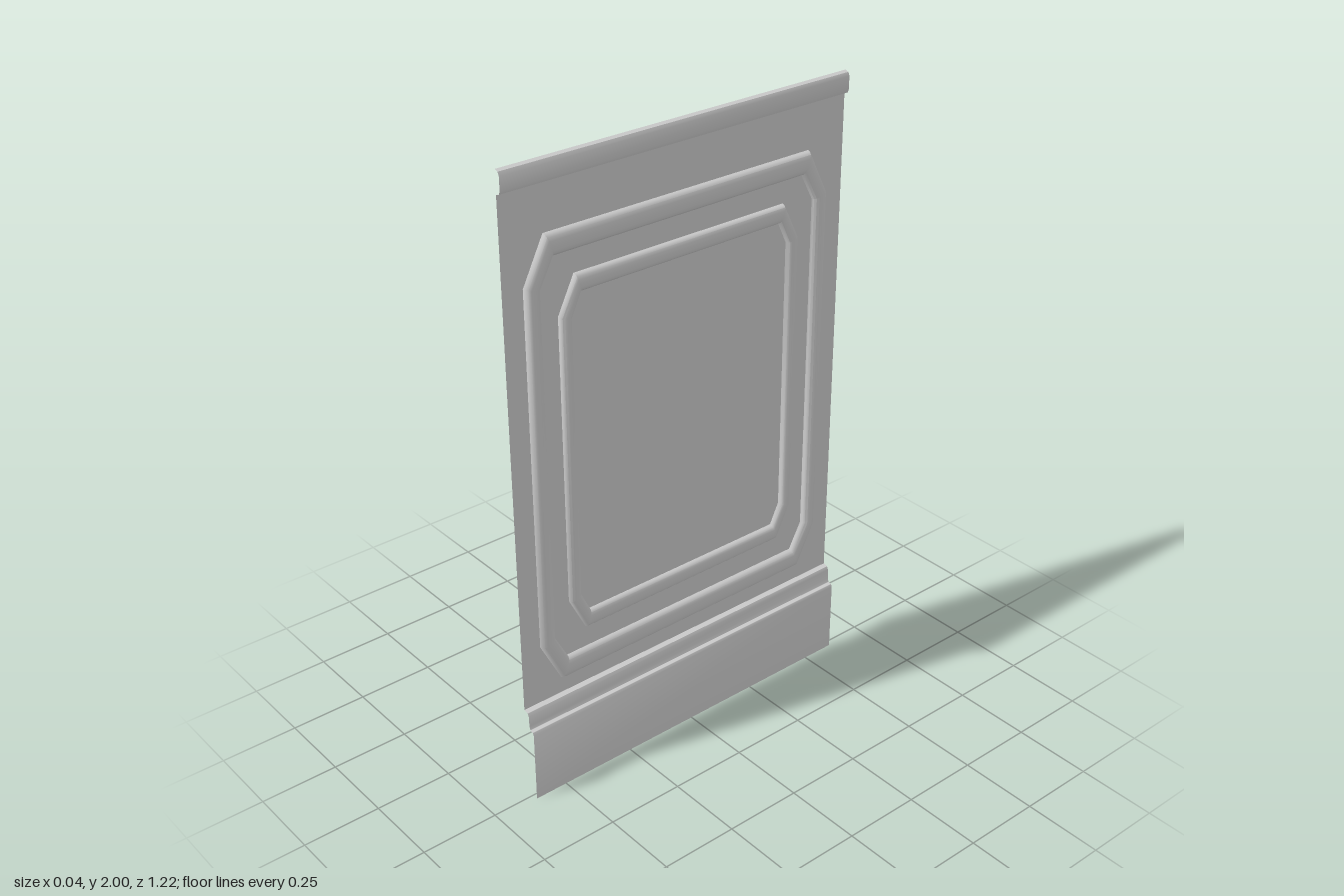
import * as THREE from 'three';
import { toCreasedNormals } from 'three/addons/utils/BufferGeometryUtils.js';

const HALF_WIDTH = 0.61;
const SHEET_X = -0.022;
const material = new THREE.MeshStandardMaterial({ color: 0xcccccc, side: THREE.DoubleSide });

// Skin between successive rows of points; closed joins each row's end to its start
function loft(name, rows, closed) {
  const n = rows[0].length;
  const index = [];
  for (let r = 0; r < rows.length - 1; r++) {
    for (let i = 0; i < (closed ? n : n - 1); i++) {
      const j = (i + 1) % n;
      const a = r * n + i, b = r * n + j, c = a + n, d = b + n;
      index.push(a, b, c, b, d, c);
    }
  }
  const geometry = new THREE.BufferGeometry();
  geometry.setAttribute('position', new THREE.Float32BufferAttribute(rows.flat(2), 3));
  geometry.setIndex(index);
  const mesh = new THREE.Mesh(toCreasedNormals(geometry, 0.6), material);
  mesh.name = name;
  return mesh;
}

// Open strip: an (x, y) profile, listed top to bottom, swept across the width
function strip(name, profile) {
  return loft(name, profile.map(([x, y]) => [[x, y, HALF_WIDTH], [x, y, -HALF_WIDTH]]), false);
}

// Rectangle with cut corners, counter-clockwise as seen from +x
function outline({ z, top, bottom, cutZ, cutY }) {
  const a = z - cutZ;
  return [
    [-a, bottom], [-z, bottom + cutY], [-z, top - cutY], [-a, top],
    [a, top], [z, top - cutY], [z, bottom + cutY], [a, bottom],
  ];
}

// Raised frame with a rounded section between an outer and an inner outline
function moulding(name, outer, inner, height) {
  const o = outline(outer), n = outline(inner);
  const section = [[0, 0], [0.04, 0.45], [0.14, 0.8], [0.3, 0.97], [0.5, 1],
    [0.7, 0.97], [0.86, 0.8], [0.96, 0.45], [1, 0]];
  const rows = section.map(([t, h]) => o.map(([z, y], i) => [
    SHEET_X + h * height,
    THREE.MathUtils.lerp(y, n[i][1], t),
    THREE.MathUtils.lerp(z, n[i][0], t),
  ]));
  return loft(name, rows, true);
}

export function createModel() {
  const group = new THREE.Group();
  group.name = 'wallPanel';

  // Flat sheet and the horizontal trims above and below it
  group.add(strip('topRail', [
    [SHEET_X, 2], [-0.01, 1.996], [-0.005, 1.985], [-0.005, 1.945], [-0.009, 1.935], [SHEET_X, 1.93],
  ]));
  group.add(strip('panelSheet', [[SHEET_X, 1.93], [SHEET_X, 0.31]]));
  group.add(strip('baseTrim', [
    [SHEET_X, 0.31], [-0.006, 0.306], [-0.001, 0.295], [0, 0.262], [0.004, 0.25],
  ]));
  group.add(strip('baseboard', [[0.004, 0.25], [0.016, 0.247], [0.02, 0.238], [0.02, 0]]));

  // Two nested frames on the face
  group.add(moulding('outerFrame',
    { z: 0.543, top: 1.79, bottom: 0.365, cutZ: 0.07, cutY: 0.14 },
    { z: 0.493, top: 1.72, bottom: 0.435, cutZ: 0.045, cutY: 0.085 }, 0.019));
  group.add(moulding('innerFrame',
    { z: 0.434, top: 1.65, bottom: 0.507, cutZ: 0.056, cutY: 0.113 },
    { z: 0.393, top: 1.593, bottom: 0.564, cutZ: 0.032, cutY: 0.068 }, 0.017));
  return group;
}
